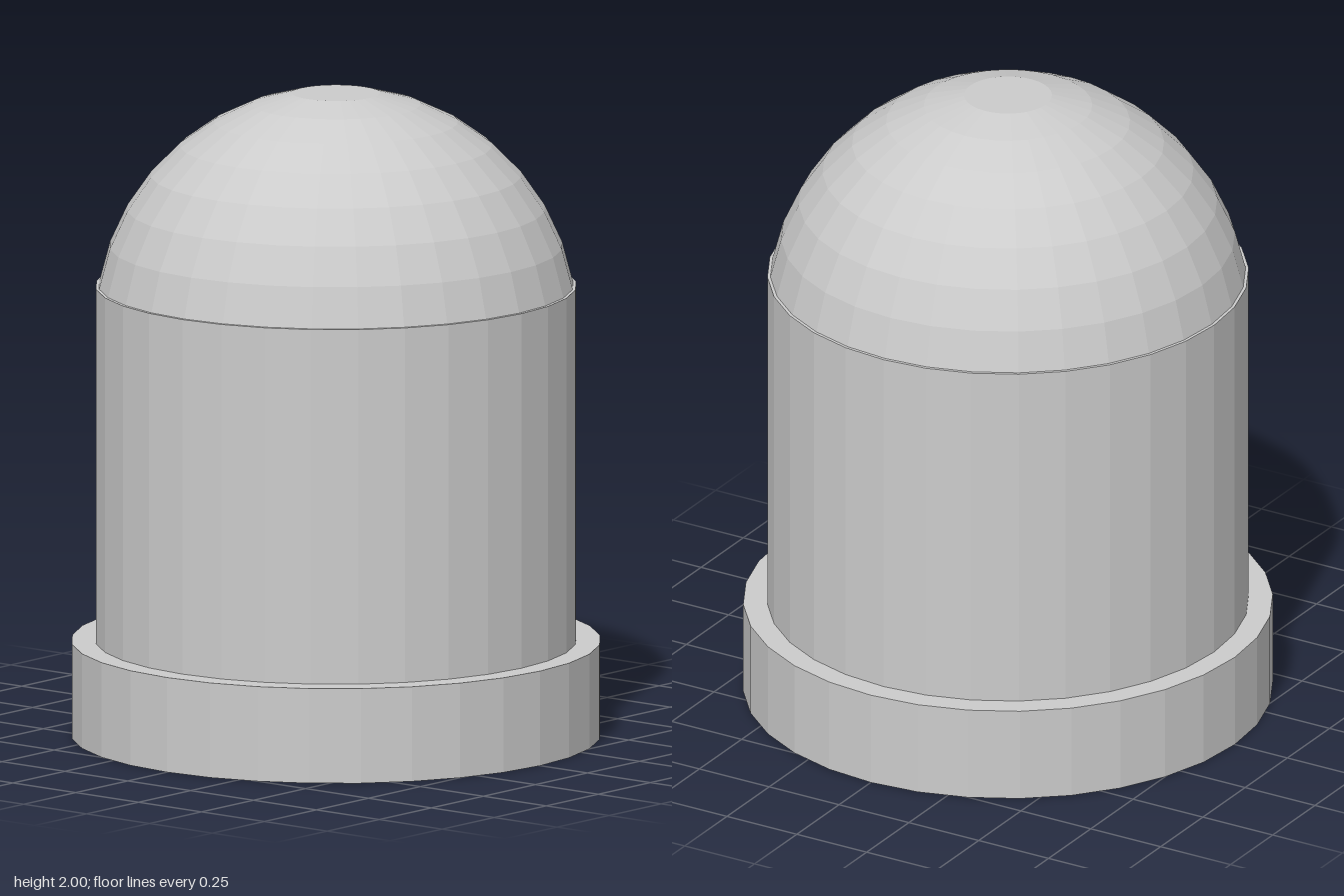
import * as THREE from 'three';

const SIDES = 32;
const material = new THREE.MeshStandardMaterial({ color: 0xcccccc, flatShading: true });

// Revolves an outline of [radius, height] points, listed from bottom to top
function turned(name, outline) {
  const points = outline.map(([r, y]) => new THREE.Vector2(r, y));
  const mesh = new THREE.Mesh(new THREE.LatheGeometry(points, SIDES), material);
  mesh.name = name;
  return mesh;
}

export function createModel() {
  const model = new THREE.Group();
  model.name = 'domedCap';

  // Wide collar at the foot
  const baseRadius = 0.812, baseTop = 0.295;
  const bodyRadius = 0.738;
  model.add(turned('baseCollar', [
    [0, 0], [baseRadius, 0], [baseRadius, baseTop], [bodyRadius, baseTop],
  ]));

  // Straight wall
  const shoulder = 1.4;
  model.add(turned('body', [[bodyRadius, baseTop], [bodyRadius, shoulder]]));

  // Spherical dome in about ten-degree bands, cut flat at the top
  const domeRadius = 0.74, domeCentre = 1.272, steps = 7;
  const dome = [[bodyRadius, shoulder]];
  for (let i = 0; i <= steps; i++) {
    const a = THREE.MathUtils.degToRad(THREE.MathUtils.lerp(10, 79.5, i / steps));
    dome.push([domeRadius * Math.cos(a), domeCentre + domeRadius * Math.sin(a)]);
  }
  dome.push([0, 2]);
  model.add(turned('dome', dome));

  return model;
}
